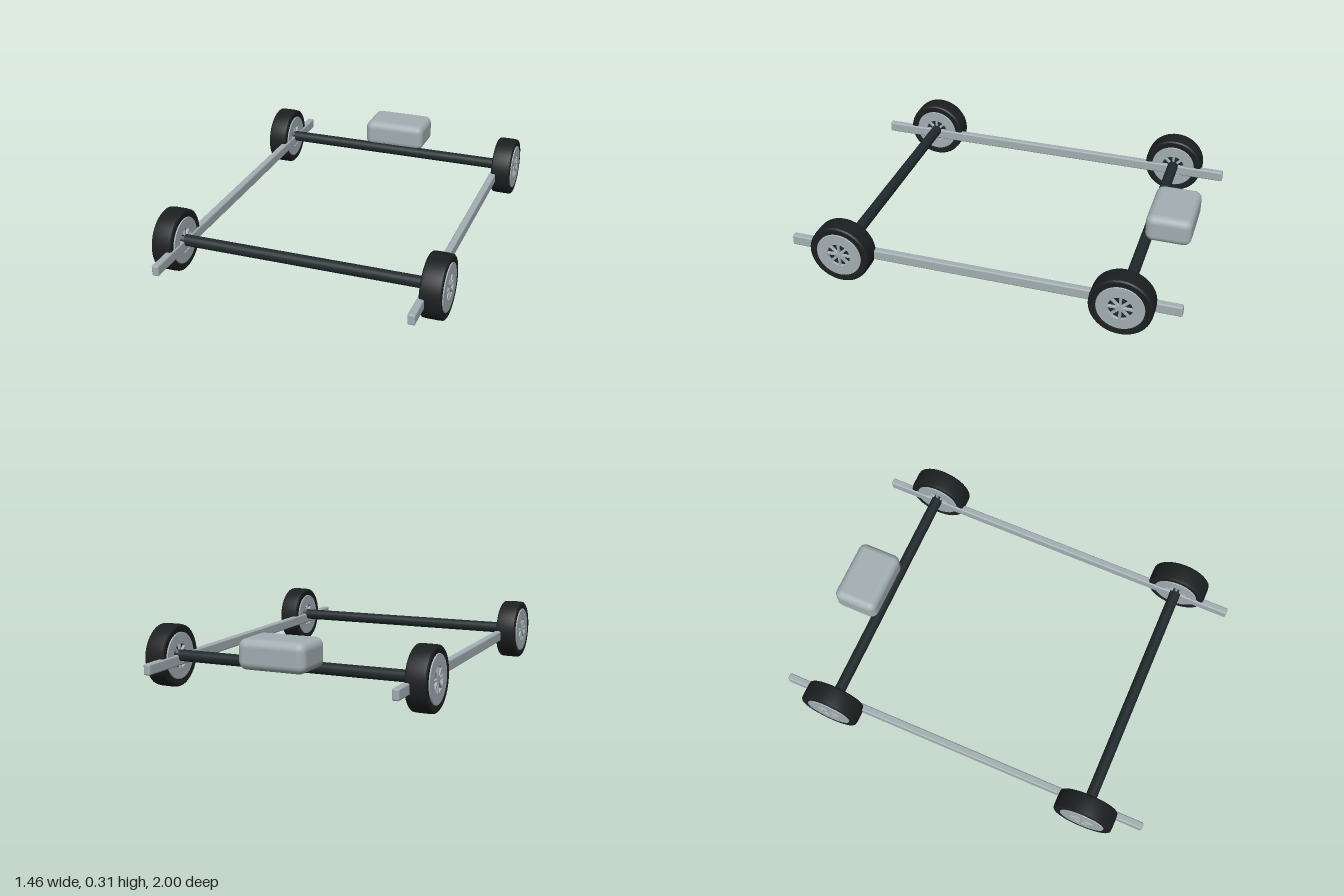
import * as THREE from 'three';
import { RoundedBoxGeometry } from 'three/addons/geometries/RoundedBoxGeometry.js';
import { toCreasedNormals } from 'three/addons/utils/BufferGeometryUtils.js';

const grey = new THREE.MeshStandardMaterial({ color: 0xa3afb3 });
const black = new THREE.MeshStandardMaterial({ color: 0x1c1f20 });
const dark = new THREE.MeshStandardMaterial({ color: 0x20292c });

const AXLE_Y = 0.157, WHEEL_X = 0.676, AXLE_Z = [0.705, -0.72];

function part(name, geometry, material, x = 0, y = 0, z = 0) {
  const mesh = new THREE.Mesh(geometry, material);
  mesh.name = name;
  mesh.position.set(x, y, z);
  return mesh;
}

// Tyre: closed ring profile turned around the axle (x)
function tyreGeometry() {
  const profile = [
    [0.114, -0.048], [0.135, -0.053], [0.148, -0.053], [0.155, -0.047], [0.157, -0.03],
    [0.157, 0.03], [0.155, 0.047], [0.148, 0.053], [0.135, 0.053], [0.114, 0.048], [0.114, -0.048],
  ].map(([r, h]) => new THREE.Vector2(r, h));
  return toCreasedNormals(new THREE.LatheGeometry(profile, 48).rotateZ(-Math.PI / 2), 0.6);
}

// Rim: disc with a ring of wedge-shaped windows between the spokes
function rimGeometry(spokes = 8) {
  const shape = new THREE.Shape().absarc(0, 0, 0.116, 0, Math.PI * 2);
  const inner = 0.016, outer = 0.062, half = 0.0045;
  for (let i = 0; i < spokes; i++) {
    const a = (i / spokes) * Math.PI * 2, b = ((i + 1) / spokes) * Math.PI * 2;
    const hole = new THREE.Path();
    hole.absarc(0, 0, outer, a + half / outer, b - half / outer, false);
    hole.absarc(0, 0, inner, b - half / inner, a + half / inner, true);
    hole.closePath();
    shape.holes.push(hole);
  }
  const geometry = new THREE.ExtrudeGeometry(shape, {
    depth: 0.104, bevelEnabled: true, bevelThickness: 0.003, bevelSize: 0.002,
    bevelSegments: 1, curveSegments: 24,
  });
  return toCreasedNormals(geometry.translate(0, 0, -0.052).rotateY(Math.PI / 2), 0.5);
}

export function createModel() {
  const model = new THREE.Group();
  model.name = 'chassis';

  const tyre = tyreGeometry();
  const rim = rimGeometry();
  const backing = new THREE.CylinderGeometry(0.07, 0.07, 0.084, 32).rotateZ(Math.PI / 2);
  const axle = new THREE.CylinderGeometry(0.029, 0.029, 1.27, 32).rotateZ(Math.PI / 2);
  const rail = new RoundedBoxGeometry(0.036, 0.055, 2, 3, 0.008);

  // Axles with a wheel at each end
  AXLE_Z.forEach((z, i) => {
    const end = i ? 'rear' : 'front';
    model.add(part(end + 'Axle', axle, dark, 0, AXLE_Y + 0.002, z));
    for (const side of [1, -1]) {
      const wheel = new THREE.Group();
      wheel.name = end + (side > 0 ? 'Left' : 'Right') + 'Wheel';
      wheel.add(part('tyre', tyre, black), part('rim', rim, grey), part('rimBacking', backing, dark));
      wheel.position.set(side * WHEEL_X, AXLE_Y, z);
      model.add(wheel);
    }
  });

  // Side rails
  for (const side of [1, -1]) {
    model.add(part(side > 0 ? 'leftRail' : 'rightRail', rail, grey, side * 0.633, 0.137, 0));
  }

  // Engine block behind the rear axle
  model.add(part('engineBlock', new RoundedBoxGeometry(0.346, 0.147, 0.236, 6, 0.04), grey, 0, 0.239, -0.832));

  return model;
}
